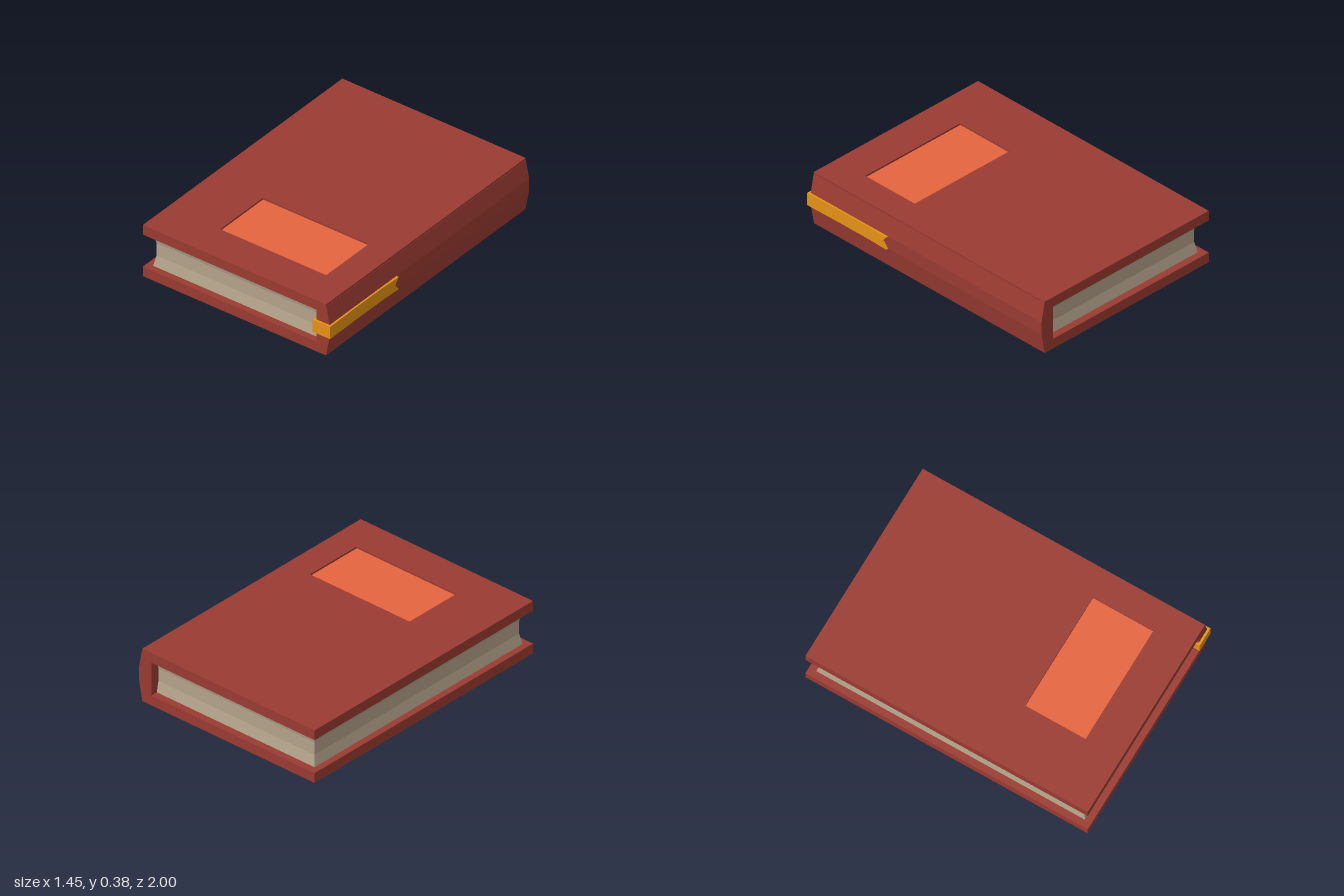
import * as THREE from 'three';

const mat = (color) => new THREE.MeshStandardMaterial({ color, flatShading: true });

// Joins equal rings of [x, y, z] points (counter-clockwise around the direction of travel) and caps both ends.
function loft(rings) {
  const pos = [];
  const quad = (a, b, c, d) => pos.push(...a, ...b, ...c, ...a, ...c, ...d);
  const n = rings[0].length, last = rings[rings.length - 1], first = rings[0];
  for (let s = 0; s < rings.length - 1; s++) {
    for (let i = 0; i < n; i++) {
      const j = (i + 1) % n;
      quad(rings[s][i], rings[s][j], rings[s + 1][j], rings[s + 1][i]);
    }
  }
  for (let i = 0; i < n / 2 - 1; i++) {
    quad(last[i], last[i + 1], last[n - 2 - i], last[n - 1 - i]);
    quad(first[n - 1 - i], first[n - 2 - i], first[i + 1], first[i]);
  }
  const g = new THREE.BufferGeometry();
  g.setAttribute('position', new THREE.Float32BufferAttribute(pos, 3));
  g.computeVertexNormals();
  return g;
}

const shapeOf = (pts) => new THREE.Shape(pts.map(([x, y]) => new THREE.Vector2(x, y)));
const extrude = (shape, depth) => new THREE.ExtrudeGeometry(shape, { depth, bevelEnabled: false });

export function createModel() {
  const book = new THREE.Group();
  book.name = 'book';
  const add = (name, geometry, material) => {
    const mesh = new THREE.Mesh(geometry, material);
    mesh.name = name;
    book.add(mesh);
    return mesh;
  };
  const coverMat = mat(0x9a3b32);
  const back = -1, front = 0.985, height = 0.375, floor = 0.36;

  // Cover: C-shaped section with a faceted spine
  const section = shapeOf([
    [-0.725, 0], [0.675, 0], [0.703, 0.145], [0.703, 0.235], [0.678, floor],
    [-0.725, floor], [-0.725, 0.305], [0.603, 0.305], [0.603, 0.07], [-0.725, 0.07],
  ]);
  add('cover', extrude(section, front - back), coverMat).position.z = back;

  // Top skin of the cover with the label recess cut through it
  const skin = shapeOf([[-0.725, -front], [0.676, -front], [0.676, -back], [-0.725, -back]]);
  skin.holes.push(new THREE.Path([[-0.325, -0.735], [-0.325, -0.31], [0.485, -0.31], [0.485, -0.735]]
    .map(([x, y]) => new THREE.Vector2(x, y))));
  const skinMesh = add('coverTop', extrude(skin, height - floor), coverMat);
  skinMesh.rotation.x = -Math.PI / 2;
  skinMesh.position.y = floor;

  // Label lying in the recess
  add('label', new THREE.BoxGeometry(0.81, 0.006, 0.425), mat(0xe5643e)).position.set(0.08, 0.36, 0.5225);

  // Page block, hollowed slightly on its three open edges
  const pages = [[0.07, 0], [0.145, 0.015], [0.235, 0.015], [0.305, 0]].map(([y, inset]) => {
    const x0 = -0.68 + inset, x1 = 0.603, z0 = -0.95 + inset, z1 = 0.94 - inset;
    return [[x1, y, z1], [x1, y, z0], [x0, y, z0], [x0, y, z1]];
  });
  add('pages', loft(pages), mat(0xb3a28a));

  // Bookmark ribbon: out of the pages, round the spine, ending in a notched tail
  // Each entry: inner x, inner z, outer x, outer z, notch depth
  const ribbon = [
    [0.602, 0.9, 0.588, 0.9, 0],
    [0.6, 0.985, 0.585, 1, 0],
    [0.704, 0.985, 0.718, 1, 0],
    [0.7, 0.73, 0.714, 0.73, 0],
    [0.7, 0.44, 0.715, 0.44, 0],
    [0.703, 0.32, 0.72, 0.32, 0.035],
  ].map(([xi, zi, xo, zo, notch]) => [
    [xi, 0.145, zi], [xi, 0.19, zi + notch], [xi, 0.235, zi],
    [xo, 0.235, zo], [xo, 0.19, zo + notch], [xo, 0.145, zo],
  ]);
  add('ribbon', loft(ribbon), mat(0xe59214));

  return book;
}
